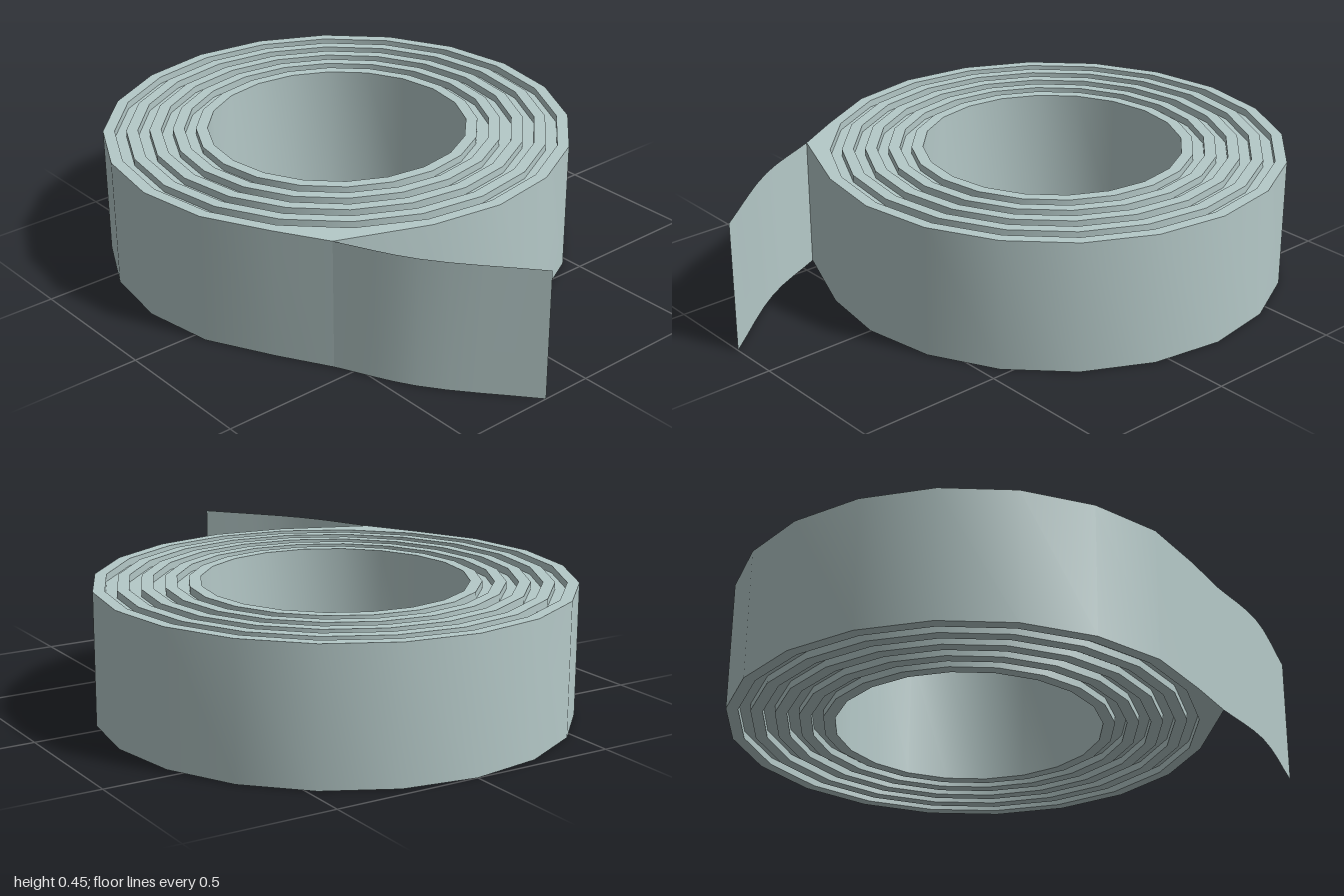
import * as THREE from 'three';
import { toCreasedNormals } from 'three/addons/utils/BufferGeometryUtils.js';

const SIDES = 20, HEIGHT = 0.45, OUTER = 0.8, INNER = 0.445, LAYERS = 9, RECESS = 0.025;
const CENTRE_Z = -0.2;
const TIP = 13; // outer corner where the loose end leaves the roll

// Corners of a regular ring outline
function outline(radius) {
  return Array.from({ length: SIDES }, (_, i) => {
    const a = (i / SIDES) * Math.PI * 2;
    return new THREE.Vector2(radius * Math.cos(a), radius * Math.sin(a));
  });
}

// One wound layer: a ring standing upright between two outlines
function layerGeometry(outer, inner, height) {
  const shape = new THREE.Shape(outer);
  shape.holes.push(new THREE.Path(inner));
  const geo = new THREE.ExtrudeGeometry(shape, { depth: height, bevelEnabled: false });
  geo.rotateX(-Math.PI / 2);
  return toCreasedNormals(geo, 0.5);
}

export function createModel() {
  const group = new THREE.Group();
  group.name = 'tapeRoll';
  const material = new THREE.MeshStandardMaterial({ color: 0xb5c9c8 });
  const sheetMaterial = material.clone();
  sheetMaterial.side = THREE.DoubleSide;

  // Wound layers, every second one slightly recessed at top and bottom
  const step = (OUTER - INNER) / LAYERS;
  for (let i = 0; i < LAYERS; i++) {
    const outer = outline(OUTER - i * step);
    const inner = outline(OUTER - (i + 1) * step);
    if (i === 0) outer[TIP].set(-0.55, -0.64);
    const inset = i % 2 ? RECESS : 0;
    const layer = new THREE.Mesh(layerGeometry(outer, inner, HEIGHT - 2 * inset), material);
    layer.name = i === 0 ? 'outerLayer' : i === LAYERS - 1 ? 'innerLayer' : 'layer' + i;
    layer.position.set(0, inset, CENTRE_Z);
    group.add(layer);
  }

  // Loose end: a thin upright sheet following a gentle curve
  const curve = new THREE.CatmullRomCurve3([
    new THREE.Vector3(-0.55, 0, 0.44),
    new THREE.Vector3(-0.425, 0, 0.69),
    new THREE.Vector3(-0.175, 0, 1),
  ]);
  const sheet = new THREE.PlaneGeometry(1, HEIGHT, 8, 1);
  const pos = sheet.attributes.position;
  for (let i = 0; i < pos.count; i++) {
    const p = curve.getPoint(pos.getX(i) + 0.5);
    pos.setXYZ(i, p.x, pos.getY(i) + HEIGHT / 2, p.z);
  }
  sheet.computeVertexNormals();
  const looseEnd = new THREE.Mesh(sheet, sheetMaterial);
  looseEnd.name = 'looseEnd';
  group.add(looseEnd);

  return group;
}
